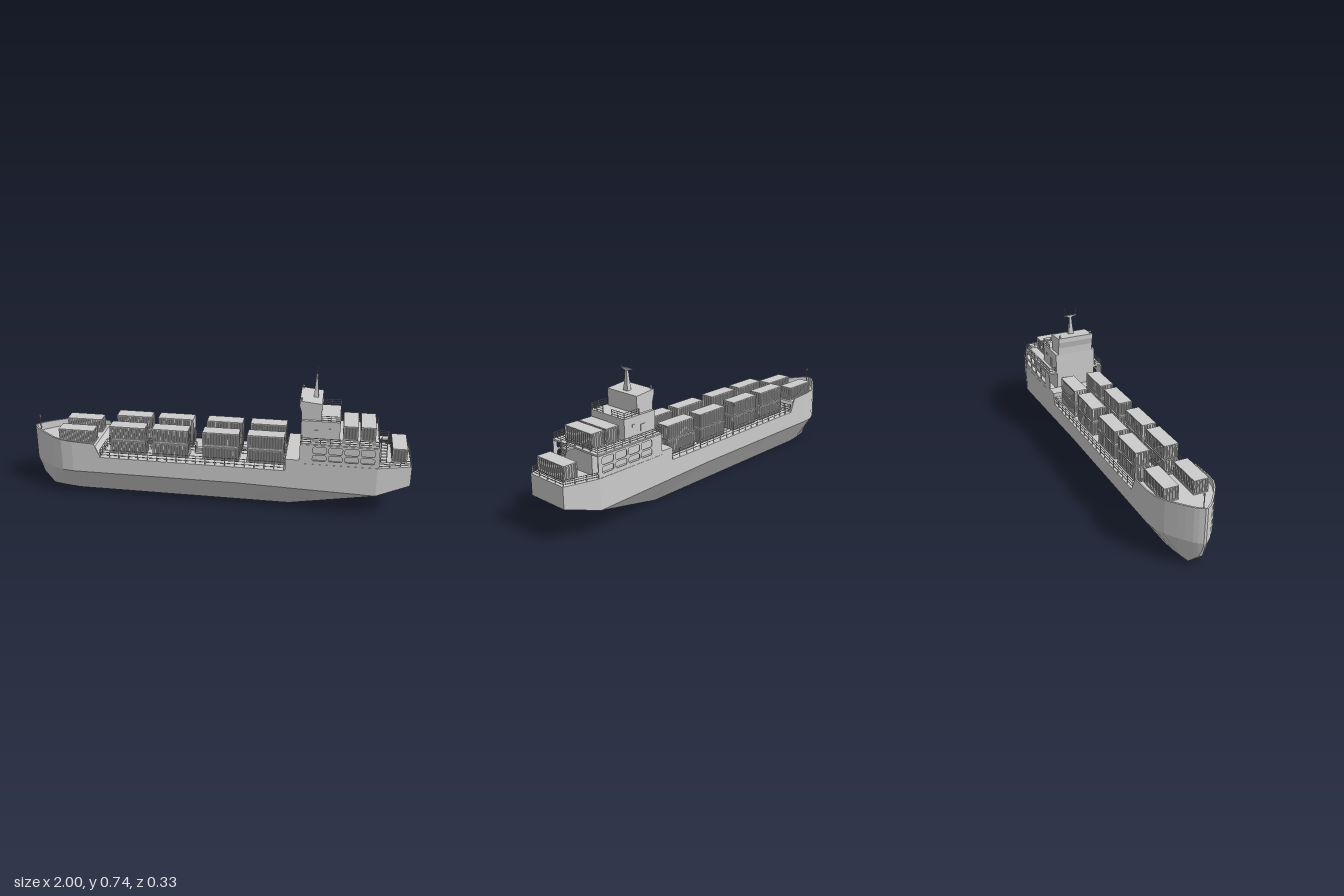
import * as THREE from 'three';
import { mergeGeometries } from 'three/addons/utils/BufferGeometryUtils.js';

const material = new THREE.MeshStandardMaterial({ color: 0xcccccc, flatShading: true, side: THREE.DoubleSide });
const V = (x, y, z) => new THREE.Vector3(x, y, z);
const merge = (list) => mergeGeometries(list.map((g) => (g.index ? g.toNonIndexed() : g)));

// Box given by its minimum and maximum on each axis
function box(x0, x1, y0, y1, z0, z1) {
  return new THREE.BoxGeometry(x1 - x0, y1 - y0, z1 - z0)
    .translate((x0 + x1) / 2, (y0 + y1) / 2, (z0 + z1) / 2);
}

// Round bar between two points
function bar(a, b, r = 0.0018, sides = 6) {
  const d = b.clone().sub(a);
  const g = new THREE.CylinderGeometry(r, r, d.length(), sides);
  g.applyQuaternion(new THREE.Quaternion().setFromUnitVectors(V(0, 1, 0), d.normalize()));
  return g.translate((a.x + b.x) / 2, (a.y + b.y) / 2, (a.z + b.z) / 2);
}

// Skin closed rings of points, with both ends capped
function loft(rings) {
  const pos = [];
  const tri = (...pts) => pts.forEach((p) => pos.push(p.x, p.y, p.z));
  const n = rings[0].length;
  for (let i = 0; i < rings.length - 1; i++) {
    const a = rings[i], b = rings[i + 1];
    for (let j = 0; j < n; j++) {
      const k = (j + 1) % n;
      tri(a[j], b[j], b[k]);
      tri(a[j], b[k], a[k]);
    }
  }
  const first = rings[0], last = rings[rings.length - 1];
  for (let j = 1; j < n - 1; j++) {
    tri(first[0], first[j], first[j + 1]);
    tri(last[0], last[j + 1], last[j]);
  }
  const g = new THREE.BufferGeometry();
  g.setAttribute('position', new THREE.Float32BufferAttribute(pos, 3));
  g.computeVertexNormals();
  return g;
}

// Railing along a path: evenly spaced posts and three horizontal bars
function railing(points, h) {
  const parts = [];
  const up = (p, y) => V(p.x, p.y + y, p.z);
  for (let i = 0; i < points.length - 1; i++) {
    const a = points[i], b = points[i + 1];
    const n = Math.max(1, Math.round(a.distanceTo(b) / 0.05));
    for (let k = 0; k <= n; k++) {
      const p = a.clone().lerp(b, k / n);
      parts.push(bar(p, up(p, h)));
    }
    for (const f of [0.35, 0.68, 1]) parts.push(bar(up(a, h * f), up(b, h * f)));
  }
  return merge(parts);
}

// Container with ribbed walls, corner posts and flat top and bottom frames
function containerGeometry(l, h, w) {
  const pts = [], d = 0.004, x = l / 2 - 0.001, z = w / 2 - 0.001;
  const corners = [[-x, -z], [x, -z], [x, z], [-x, z]];
  corners.forEach(([ax, az], i) => {
    const [bx, bz] = corners[(i + 1) % 4];
    const len = Math.hypot(bx - ax, bz - az), ribs = Math.round(len / 0.0145);
    const ux = (bx - ax) / len, uz = (bz - az) / len;
    for (let k = 0; k < ribs; k++) {
      for (const [f, depth] of [[0.1, 0], [0.4, 0], [0.6, d], [0.9, d]]) {
        const t = ((k + f) / ribs) * len;
        pts.push(new THREE.Vector2(ax + ux * t - uz * depth, az + uz * t + ux * depth));
      }
    }
  });
  const walls = new THREE.ExtrudeGeometry(new THREE.Shape(pts), { depth: h - 0.004, bevelEnabled: false })
    .rotateX(-Math.PI / 2).translate(0, 0.002, 0);
  const parts = [walls, box(-l / 2, l / 2, 0, 0.005, -w / 2, w / 2), box(-l / 2, l / 2, h - 0.005, h, -w / 2, w / 2)];
  for (const sx of [-1, 1]) for (const sz of [-1, 1]) {
    const cx = sx * (l / 2 - 0.003), cz = sz * (w / 2 - 0.003);
    parts.push(box(cx - 0.003, cx + 0.003, 0, h, cz - 0.003, cz + 0.003));
  }
  return merge(parts);
}

export function createModel() {
  const ship = new THREE.Group();
  ship.name = 'containerShip';
  const add = (name, geometry, x = 0, y = 0, z = 0) => {
    const mesh = new THREE.Mesh(geometry, material);
    mesh.name = name;
    mesh.position.set(x, y, z);
    ship.add(mesh);
    return mesh;
  };

  // Hull stations: x, keel half width, keel y, chine half width, chine y, deck y
  const stations = [
    [-1, 0.004, 0.14, 0.006, 0.15, 0.29], [-0.985, 0.006, 0.1, 0.028, 0.15, 0.29],
    [-0.97, 0.01, 0.06, 0.045, 0.15, 0.29], [-0.94, 0.018, 0.03, 0.07, 0.15, 0.29],
    [-0.91, 0.026, 0, 0.093, 0.15, 0.29], [-0.86, 0.038, 0, 0.129, 0.15, 0.29],
    [-0.81, 0.048, 0, 0.152, 0.15, 0.29], [-0.75, 0.057, 0, 0.16, 0.15, 0.29],
    [-0.63, 0.057, 0, 0.16, 0.15, 0.29], [-0.6, 0.057, 0, 0.16, 0.15, 0.24],
    [0.12, 0.057, 0, 0.161, 0.15, 0.24], [0.37, 0.057, 0, 0.162, 0.144, 0.24],
    [0.37, 0.057, 0, 0.162, 0.144, 0.305], [0.39, 0.057, 0, 0.162, 0.143, 0.305],
    [0.44, 0.069, 0.015, 0.162, 0.142, 0.305], [0.44, 0.069, 0.015, 0.162, 0.142, 0.287],
    [0.83, 0.163, 0.133, 0.163, 0.133, 0.287], [1, 0.115, 0.18, 0.115, 0.18, 0.287],
  ];
  add('hull', loft(stations.map(([x, kw, ky, cw, cy, top]) => [
    V(x, ky, kw), V(x, cy, cw), V(x, top, cw), V(x, top, -cw), V(x, cy, -cw), V(x, ky, -kw),
  ])));

  // Bulwark wraps the bow and slopes down to the main deck
  const sheer = stations.slice(0, 10).map(([x, , , w], i) => [x, w, i === 9 ? 0.245 : 0.333 - (x + 1) * 0.05]);
  const edge = [...sheer].reverse().map(([x, w, y]) => [x, -w, y]).concat(sheer);
  add('bowBulwark', loft(edge.map(([x, z, y]) => {
    const iz = Math.sign(z) * Math.max(Math.abs(z) - 0.006, 0.001), ix = x < -0.8 ? x + 0.006 : x;
    return [V(x, 0.24, z), V(x, y, z), V(ix, y, iz), V(ix, 0.24, iz)];
  })));
  add('bowMast', merge([bar(V(-0.972, 0.29, 0), V(-0.972, 0.385, 0), 0.0025), box(-0.976, -0.968, 0.38, 0.392, -0.004, 0.004)]));

  // Cargo
  const cargo = containerGeometry(0.19, 0.073, 0.075);
  for (const z of [-0.082, 0.07]) {
    for (const x of [-0.46, -0.233, 0.032, 0.264]) {
      for (const y of [0.245, 0.325]) add('deckContainer', cargo, x, y, z);
      add('containerSpacer', box(-0.09, 0.09, 0.316, 0.327, -0.032, 0.032), x, 0, z);
    }
    add('bowContainer', cargo, -0.738, 0.292, z);
  }
  for (const [x, y] of [[0.688, 0.402], [0.775, 0.402], [0.937, 0.297]]) {
    add('aftContainer', cargo, x, y, 0).rotation.y = Math.PI / 2;
  }

  // Main deck railings, with a gap in each inner run
  for (const s of [-1, 1]) {
    const inner = s * 0.022, outer = s * 0.156, y = 0.24;
    add('deckRailing', railing([V(-0.115, y, inner), V(-0.598, y, inner), V(-0.598, y, outer),
      V(0.365, y, outer), V(0.365, y, inner), V(-0.068, y, inner)], 0.044));
    add('walkwayStep', box(-0.115, -0.068, 0.24, 0.25, inner - 0.01, inner + 0.01));
  }

  // Lower deckhouse with open side passages
  add('lowerHouse', box(0.44, 0.83, 0.28, 0.392, -0.112, 0.112));
  add('upperDeck', box(0.44, 0.835, 0.389, 0.398, -0.158, 0.158));
  const wall = new THREE.Shape([[0.44, 0.28], [0.835, 0.28], [0.835, 0.392], [0.44, 0.392]].map((p) => new THREE.Vector2(...p)));
  for (const [y0, y1] of [[0.306, 0.337], [0.346, 0.382]]) {
    for (let i = 0; i < 4; i++) {
      const x0 = 0.505 + i * 0.08, x1 = x0 + 0.068, c = 0.006;
      wall.holes.push(new THREE.Path([[x0 + c, y0], [x0, y0 + c], [x0, y1 - c], [x0 + c, y1],
        [x1 - c, y1], [x1, y1 - c], [x1, y0 + c], [x1 - c, y0]].map((p) => new THREE.Vector2(...p))));
    }
  }
  const wallGeometry = new THREE.ExtrudeGeometry(wall, { depth: 0.005, bevelEnabled: false });
  for (const z of [-0.161, 0.156]) add('passageWall', wallGeometry, 0, 0, z);
  add('upperDeckRailing', railing([V(0.445, 0.398, -0.12), V(0.445, 0.398, -0.155), V(0.83, 0.398, -0.155), V(0.83, 0.398, 0.155),
    V(0.445, 0.398, 0.155), V(0.445, 0.398, 0.12)], 0.029));

  // Upper house with doors and vents on its sides
  add('upperHouse', box(0.44, 0.635, 0.395, 0.502, -0.116, 0.116));
  for (const s of [-1, 1]) {
    add('sideDoor', box(-0.013, 0.013, 0, 0.055, -0.002, 0.002), 0.52, 0.4, s * 0.117);
    add('sideVent', box(-0.008, 0.008, -0.006, 0.006, -0.003, 0.003), 0.58, 0.46, s * 0.117);
    add('frontDoor', box(-0.002, 0.002, 0, 0.055, -0.013, 0.013), 0.44, 0.305, s * 0.07);
  }
  add('bridgeDeckRailing', merge([-1, 1].map((s) => railing(
    [V(0.54, 0.5, s * 0.115), V(0.633, 0.5, s * 0.115), V(0.633, 0.5, s * 0.03)], 0.032))));

  // Bridge with overhanging brow
  const bridge = new THREE.Shape([[0.44, 0.5], [0.54, 0.5], [0.54, 0.588], [0.428, 0.6], [0.428, 0.575], [0.438, 0.54]]
    .map((p) => new THREE.Vector2(...p)));
  add('bridge', new THREE.ExtrudeGeometry(bridge, { depth: 0.202, bevelEnabled: false }), 0, 0, -0.101);
  for (const s of [-1, 1]) {
    add('roofLamp', merge([new THREE.CylinderGeometry(0.003, 0.005, 0.012, 8).translate(0, 0.004, 0),
      new THREE.SphereGeometry(0.006, 10, 8).translate(0, 0.012, 0)]), 0.436, 0.599, s * 0.09);
  }

  // Radar mast with crossbar and whip aerials
  const mast = new THREE.Shape();
  mast.moveTo(-0.017, 0.585);
  mast.quadraticCurveTo(-0.009, 0.625, -0.006, 0.689);
  for (const [x, y] of [[-0.036, 0.695], [-0.036, 0.698], [-0.006, 0.7], [0.006, 0.7], [0.036, 0.698], [0.036, 0.695], [0.006, 0.689]]) mast.lineTo(x, y);
  mast.quadraticCurveTo(0.009, 0.625, 0.017, 0.585);
  const mastGeometry = new THREE.ExtrudeGeometry(mast, { depth: 0.024, bevelEnabled: false, curveSegments: 6 }).rotateY(Math.PI / 2);
  const mp = mastGeometry.attributes.position;
  for (let i = 0; i < mp.count; i++) mp.setX(i, (mp.getX(i) - 0.012) * (1 - (mp.getY(i) - 0.585) * 5));
  add('radarMast', mastGeometry, 0.505);
  for (const s of [-1, 1]) add('aerial', bar(V(0.505, 0.695, s * 0.034), V(0.505, 0.742, s * 0.034), 0.001));

  // Stern railing and stair up to the upper deck
  add('sternRailing', railing([V(0.835, 0.287, -0.157), V(0.994, 0.287, -0.111), V(0.994, 0.287, 0.111), V(0.835, 0.287, 0.157)], 0.029));
  add('stairLanding', box(0.83, 0.88, 0.389, 0.396, 0.0, 0.04));
  const stair = [];
  for (const x of [0.845, 0.875]) stair.push(bar(V(x, 0.287, 0.09), V(x, 0.392, 0.035), 0.0025), bar(V(x, 0.317, 0.09), V(x, 0.422, 0.035)));
  for (let i = 1; i < 8; i++) {
    const t = i / 8, y = 0.287 + 0.105 * t, z = 0.09 - 0.055 * t;
    stair.push(box(0.845, 0.875, y - 0.001, y + 0.001, z - 0.005, z + 0.005));
  }
  add('sternStair', merge(stair));
  add('landingRailing', railing([V(0.832, 0.396, 0.001), V(0.879, 0.396, 0.001), V(0.879, 0.396, 0.038)], 0.027));

  return ship;
}
